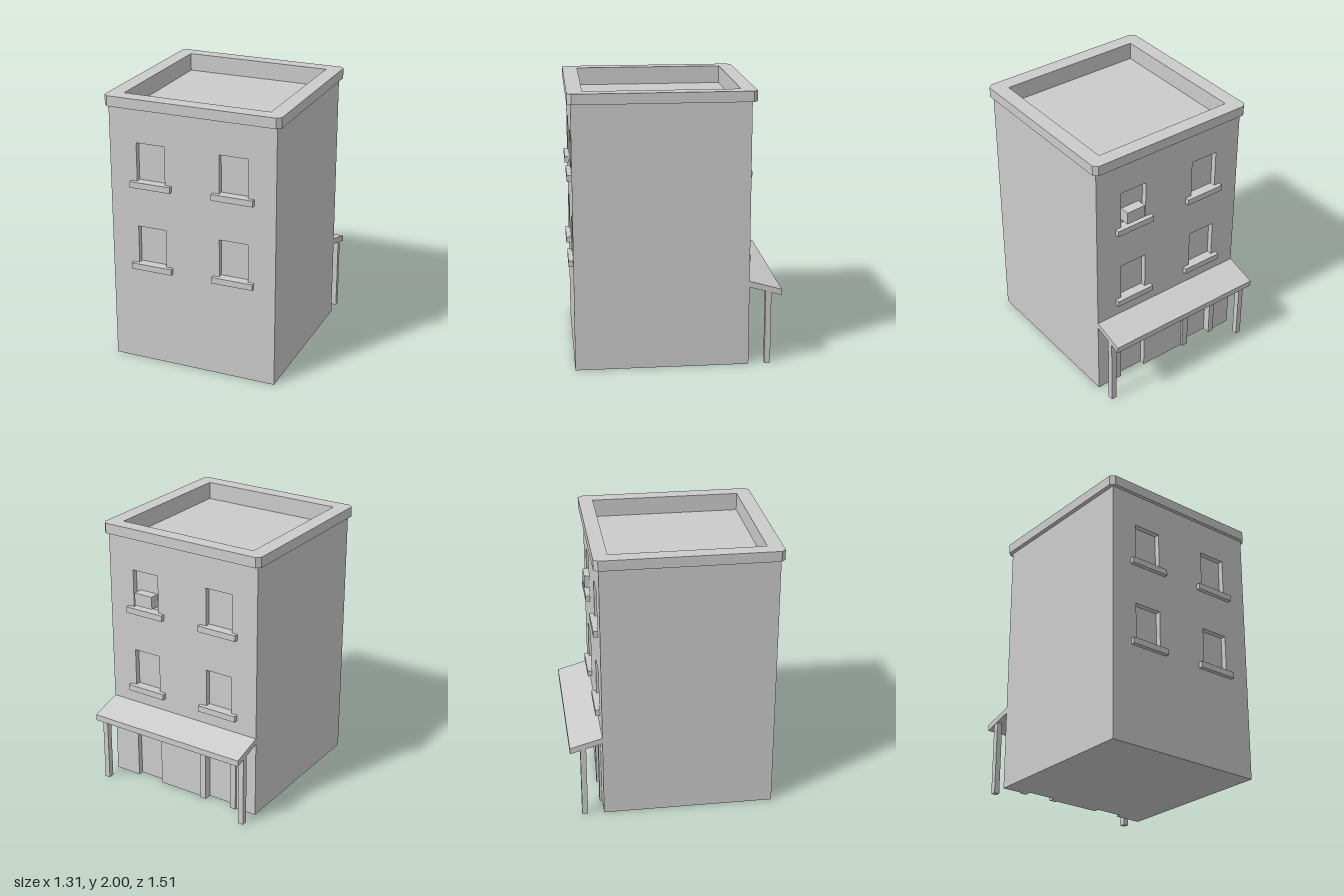
import * as THREE from 'three';

const material = new THREE.MeshStandardMaterial({ color: 0xcccccc, flatShading: true });

const HALF = 0.625;                 // half width of the building
const FRONT = 0.73, BACK = -0.52;   // facade planes
const RECESS = 0.04;                // depth of window and door openings
const WALL_TOP = 1.925, ROOF = 1.87, TOP = 2;
const WIN = [0.205, 0.42];          // opening, measured from the middle
const SILL = [0.155, 0.465];
const FLOORS = [0.77, 1.395];       // bottoms of the windows
const WIN_H = 0.283, DOOR_H = 0.42;

function add(group, name, geometry) {
  const mesh = new THREE.Mesh(geometry, material);
  mesh.name = name;
  group.add(mesh);
  return mesh;
}

// Box given by its limits on each axis
function box(group, name, [x0, x1], [y0, y1], [z0, z1]) {
  const g = new THREE.BoxGeometry(x1 - x0, y1 - y0, z1 - z0);
  g.translate((x0 + x1) / 2, (y0 + y1) / 2, (z0 + z1) / 2);
  return add(group, name, g);
}

const points = (list) => list.map(([x, y]) => new THREE.Vector2(x, y));
const rect = (x0, x1, y0, y1) => points([[x0, y0], [x1, y0], [x1, y1], [x0, y1]]);
const side = (s, [a, b]) => (s > 0 ? [a, b] : [-b, -a]);

// Facade slab with window holes and, if asked, door notches at the ground
function facade(group, name, z, doors) {
  const outline = [[-HALF, 0]];
  if (doors) {
    for (const s of [-1, 1]) {
      const [a, b] = side(s, WIN);
      outline.push([a, 0], [a, DOOR_H], [b, DOOR_H], [b, 0]);
    }
  }
  outline.push([HALF, 0], [HALF, WALL_TOP], [-HALF, WALL_TOP]);
  const shape = new THREE.Shape(points(outline));
  for (const y of FLOORS) {
    for (const s of [-1, 1]) {
      shape.holes.push(new THREE.Path(rect(...side(s, WIN), y, y + WIN_H)));
    }
  }
  const g = new THREE.ExtrudeGeometry(shape, { depth: RECESS, bevelEnabled: false });
  add(group, name, g.translate(0, 0, z));
}

// Horizontal ring around the roof well, from an outline in x and z
function ring(group, name, outline, y0, y1) {
  const shape = new THREE.Shape(points(outline.map(([x, z]) => [x, -z])));
  shape.holes.push(new THREE.Path(rect(-0.545, 0.545, -0.645, 0.45)));
  const g = new THREE.ExtrudeGeometry(shape, { depth: y1 - y0, bevelEnabled: false });
  add(group, name, g.rotateX(-Math.PI / 2).translate(0, y0, 0));
}

export function createModel() {
  const model = new THREE.Group();
  model.name = 'building';

  // Main block and the two facades
  const z0 = BACK + RECESS, z1 = FRONT - RECESS;
  box(model, 'body', [-HALF, HALF], [0, ROOF], [z0, z1]);
  facade(model, 'frontWall', z1, false);
  facade(model, 'backWall', BACK, true);

  // Parapet and cornice with cut corners
  ring(model, 'parapet', [[-HALF, z1], [HALF, z1], [HALF, z0], [-HALF, z0]], ROOF, WALL_TOP);
  const w = 0.655, f = 0.755, b = -0.555, c = 0.03;
  ring(model, 'cornice', [
    [-w + c, f], [w - c, f], [w, f - c], [w, b + c],
    [w - c, b], [-w + c, b], [-w, b + c], [-w, f - c],
  ], WALL_TOP, TOP);

  // Window sills
  for (const y of FLOORS) {
    for (const s of [-1, 1]) {
      box(model, 'frontSill', side(s, SILL), [y - 0.045, y], [FRONT, FRONT + 0.03]);
      box(model, 'backSill', side(s, SILL), [y - 0.045, y], [BACK - 0.033, BACK]);
    }
  }

  // Air conditioner in an upper back window
  box(model, 'airConditioner', [0.237, 0.387], [1.425, 1.52], [BACK - 0.033, z0]);

  // Frame around one back door
  const frame = new THREE.Shape(points([
    [-0.465, 0], [-0.42, 0], [-0.42, DOOR_H], [-0.205, DOOR_H],
    [-0.205, 0], [-0.155, 0], [-0.155, 0.47], [-0.465, 0.47],
  ]));
  const frameGeo = new THREE.ExtrudeGeometry(frame, { depth: 0.017, bevelEnabled: false });
  add(model, 'doorFrame', frameGeo.translate(0, 0, BACK - 0.017));

  // Sloping canopy: side profile swept along x
  const profile = new THREE.Shape(points([
    [-BACK, 0.583], [0.755, 0.515], [0.755, 0.56], [-BACK, 0.627],
  ]));
  const canopy = new THREE.ExtrudeGeometry(profile, { depth: 2 * HALF, bevelEnabled: false });
  add(model, 'canopy', canopy.translate(0, 0, -HALF).rotateY(Math.PI / 2));

  // Canopy posts
  for (const s of [-1, 1]) {
    box(model, 'canopyPost', side(s, [0.582, 0.623]), [0, 0.548], [-0.68, -0.638]);
  }
  return model;
}
